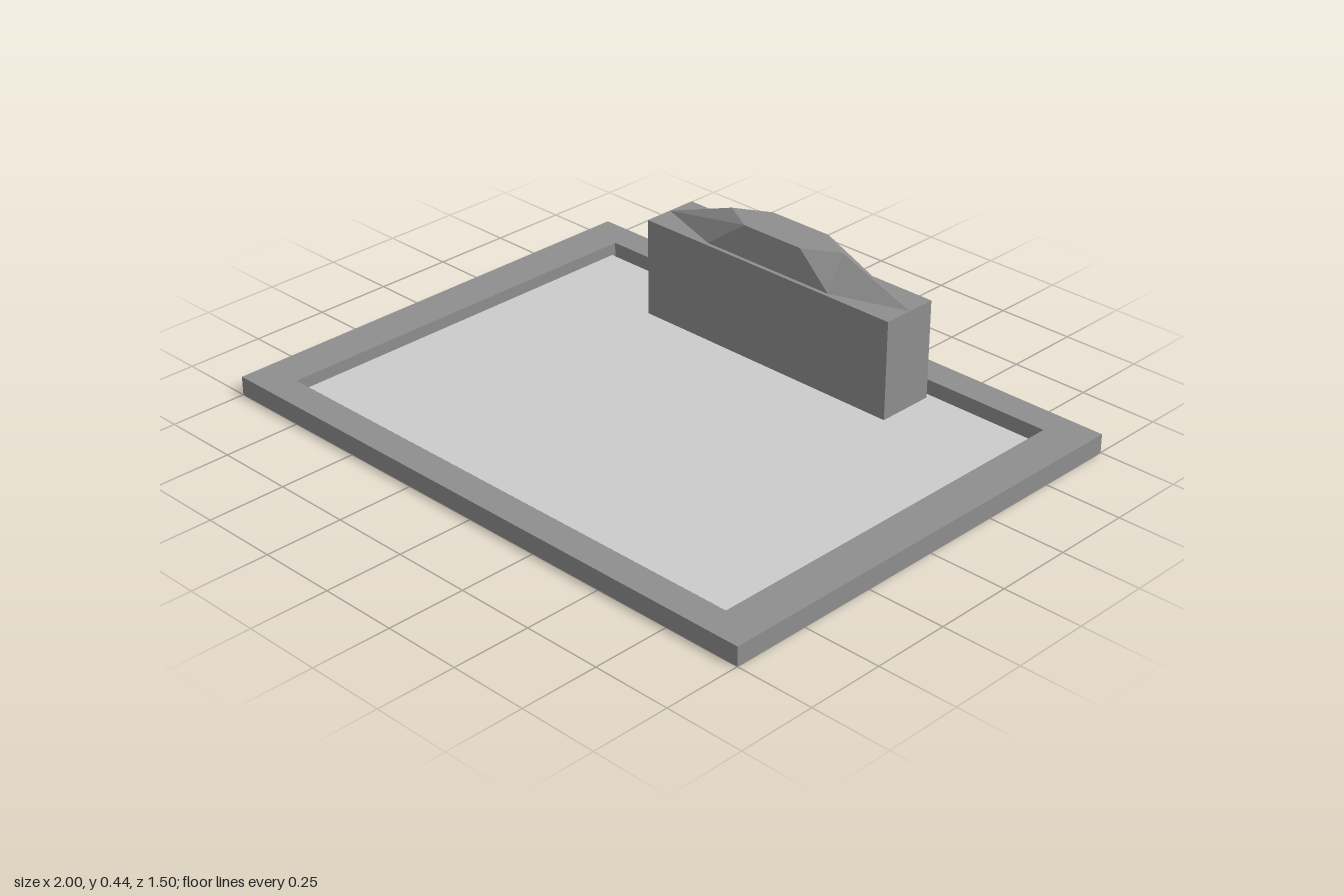
import * as THREE from 'three';

const dark = new THREE.MeshStandardMaterial({ color: 0x8e8e8e, flatShading: true });
const light = new THREE.MeshStandardMaterial({ color: 0xcccccc, flatShading: true });

function addMesh(group, name, geometry, material, x, y, z) {
  const mesh = new THREE.Mesh(geometry, material);
  mesh.name = name;
  mesh.position.set(x, y, z);
  group.add(mesh);
  return mesh;
}

function rectangle(Type, halfX, halfY) {
  const path = new Type();
  path.moveTo(-halfX, -halfY);
  path.lineTo(halfX, -halfY);
  path.lineTo(halfX, halfY);
  path.lineTo(-halfX, halfY);
  path.closePath();
  return path;
}

// Six-sided cap whose top and bottom hexagons are stretched separately
function facetedCap(height, bottom, top) {
  const geometry = new THREE.CylinderGeometry(1, 1, height, 6, 1, false, Math.PI / 6);
  const p = geometry.attributes.position;
  for (let i = 0; i < p.count; i++) {
    const [rx, rz] = p.getY(i) > 0 ? top : bottom;
    p.setX(i, p.getX(i) * rx);
    p.setZ(i, p.getZ(i) * rz);
  }
  geometry.computeVertexNormals();
  return geometry;
}

export function createModel() {
  const model = new THREE.Group();
  model.name = 'traySet';

  // Rectangular frame with an open middle
  const outline = rectangle(THREE.Shape, 1, 0.75);
  outline.holes.push(rectangle(THREE.Path, 0.867, 0.653));
  const frame = new THREE.ExtrudeGeometry(outline, { depth: 0.06, bevelEnabled: false });
  frame.rotateX(-Math.PI / 2);
  addMesh(model, 'frame', frame, dark, 0, 0, 0);

  // Recessed panel, with a narrow gap to the frame
  addMesh(model, 'panel', new THREE.BoxGeometry(1.7, 0.03, 1.245), light, 0, 0.018, 0);

  // Block standing on the panel near the back, topped by the faceted cap
  addMesh(model, 'block', new THREE.BoxGeometry(0.956, 0.32, 0.19), dark, 0, 0.19, -0.51);
  addMesh(model, 'facetedCap', facetedCap(0.095, [0.478, 0.095], [0.22, 0.072]), dark, 0, 0.3975, -0.51);

  return model;
}
